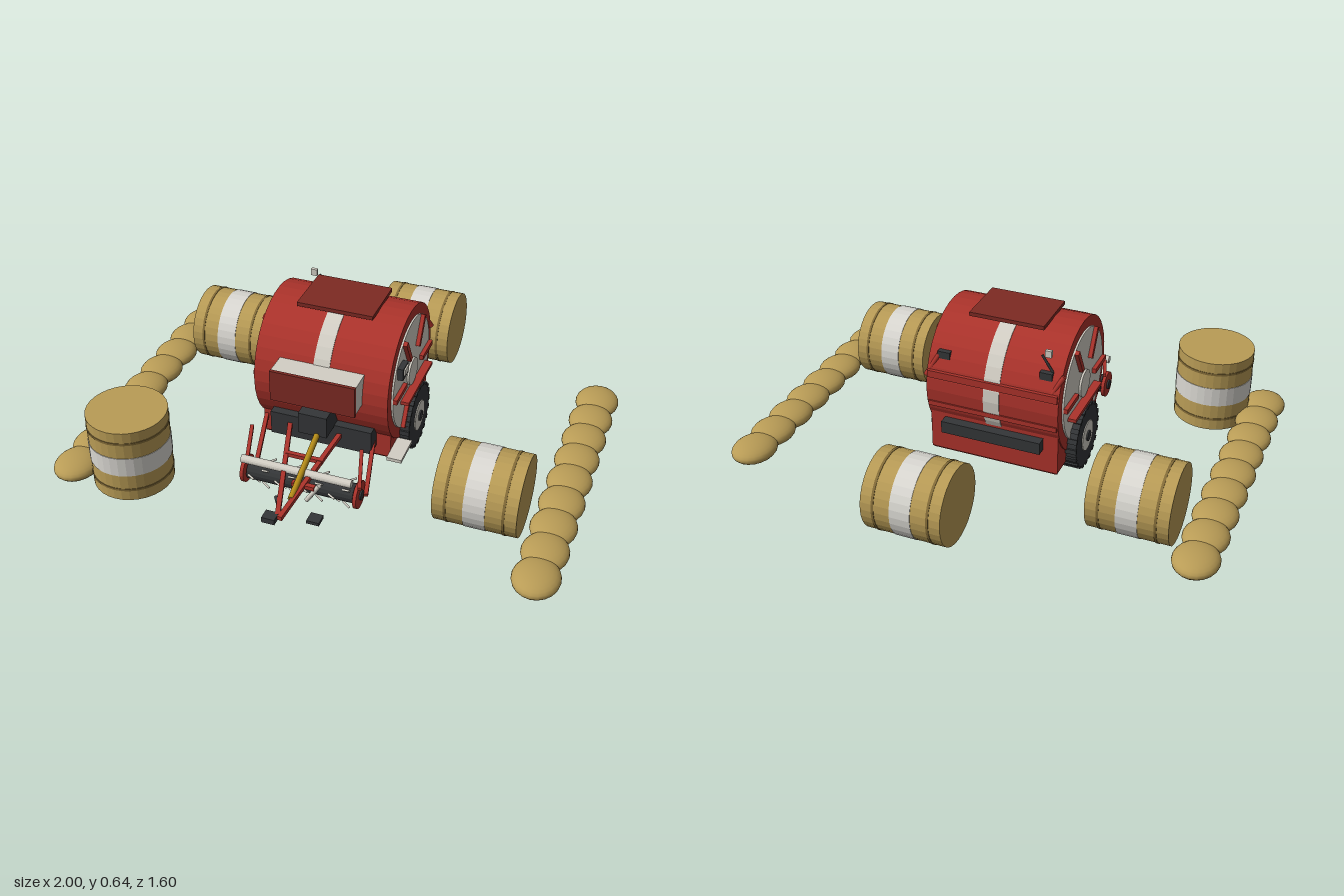
import * as THREE from 'three';

const mat = (name, color) => {
  const m = new THREE.MeshStandardMaterial({ color });
  m.name = name;
  return m;
};

export function createModel() {
  const red = mat('red paint', 0xac332b);
  const darkRed = mat('dark red paint', 0x7e2a23);
  const cream = mat('cream panel', 0xd3cfc5);
  const wrap = mat('white wrap', 0xdad8d2);
  const dark = mat('dark rubber and steel', 0x343638);
  const yellow = mat('yellow shaft guard', 0xb58c18);
  const straw = mat('straw', 0xb99c56);
  const twine = mat('dark straw', 0x846c38);

  const model = new THREE.Group();
  model.name = 'roundBalerScene';
  const baler = new THREE.Group();
  baler.name = 'baler';
  baler.position.x = -0.03;
  model.add(baler);

  const add = (parent, name, geo, material, x = 0, y = 0, z = 0) => {
    const m = new THREE.Mesh(geo, material);
    m.name = name;
    m.position.set(x, y, z);
    parent.add(m);
    return m;
  };
  const box = (name, material, w, h, d, x, y, z, parent = baler) =>
    add(parent, name, new THREE.BoxGeometry(w, h, d), material, x, y, z);
  // faceted cylinder
  const facet = (r, len, seg = 32) => {
    const g = new THREE.CylinderGeometry(r, r, len, seg).toNonIndexed();
    g.computeVertexNormals();
    return g;
  };
  // cylinder lying along x
  const roller = (name, material, r, len, x, y, z, seg = 32, parent = baler) =>
    add(parent, name, facet(r, len, seg).rotateZ(Math.PI / 2), material, x, y, z);
  // round or square bar between two points
  const bar = (name, material, a, b, r, square = false) => {
    const p = new THREE.Vector3(...a), q = new THREE.Vector3(...b), len = p.distanceTo(q);
    const g = square ? new THREE.BoxGeometry(r * 2, r * 2, len)
      : new THREE.CylinderGeometry(r, r, len, 12).rotateX(Math.PI / 2);
    const m = add(baler, name, g, material);
    m.position.copy(p).lerp(q, 0.5);
    m.lookAt(q);
    return m;
  };

  // bale chamber
  const CY = 0.362, CZ = 0.02;
  roller('chamberDrum', red, 0.27, 0.54, 0, CY, CZ, 36);
  roller('chamberStripe', cream, 0.273, 0.065, 0, CY, CZ, 36);
  box('chassis', red, 0.53, 0.22, 0.45, 0, 0.195, 0);
  box('chassisFloor', darkRed, 0.52, 0.01, 0.44, 0, 0.083, 0);
  box('topHatch', darkRed, 0.305, 0.016, 0.225, 0, 0.636, 0.015);

  // side panels, spokes, fenders and wheels on both sides
  for (const s of [-1, 1]) {
    roller('sidePanel', cream, 0.226, 0.01, s * 0.272, CY, CZ, 40);
    roller('sideHub', cream, 0.056, 0.012, s * 0.279, CY, CZ, 28);
    for (let i = 0; i < 6; i++) {
      const a = (i * Math.PI) / 3;
      const spoke = box('sideRib', red, 0.02, 0.02, 0.125, s * 0.283,
        CY + Math.sin(a) * 0.162, CZ + Math.cos(a) * 0.162);
      spoke.rotation.x = -a;
    }
    box('fender', red, 0.07, 0.014, 0.305, s * 0.275, 0.295, -0.003);

    const wheel = new THREE.Group();
    wheel.name = 'wheel';
    wheel.position.set(s * 0.272, 0.14, -0.003);
    baler.add(wheel);
    roller('tyre', dark, 0.131, 0.07, 0, 0, 0, 32, wheel);
    roller('rim', cream, 0.063, 0.078, 0, 0, 0, 28, wheel);
    roller('axleCap', dark, 0.022, 0.09, 0, 0, 0, 16, wheel);
    for (let i = 0; i < 20; i++) {
      const a = (i * Math.PI) / 10;
      const lug = box('treadLug', dark, 0.074, 0.012, 0.02, 0,
        Math.cos(a) * 0.131, Math.sin(a) * 0.131, wheel);
      lug.rotation.x = a;
    }
  }

  // control box and step on the left side
  box('controlBox', dark, 0.025, 0.05, 0.065, 0.287, 0.46, 0.167);
  box('controlScreen', cream, 0.006, 0.026, 0.045, 0.302, 0.466, 0.167);
  box('step', cream, 0.06, 0.014, 0.135, 0.295, 0.113, 0.207);

  // front net box, gearbox and feed panel
  box('netBox', cream, 0.34, 0.12, 0.11, 0, 0.415, 0.3);
  box('netBoxCover', darkRed, 0.34, 0.13, 0.013, 0, 0.413, 0.362);
  box('gearbox', dark, 0.115, 0.09, 0.13, 0, 0.27, 0.305);
  box('feedPanel', dark, 0.415, 0.1, 0.07, 0, 0.18, 0.255);

  // pickup reel
  const RY = 0.088, RZ = 0.48;
  roller('pickupReel', dark, 0.038, 0.43, 0, RY, RZ, 16);
  roller('windGuard', cream, 0.016, 0.44, 0, 0.177, 0.535, 16);
  for (const s of [-1, 1]) {
    roller('reelEndDisc', red, 0.055, 0.014, s * 0.228, RY, RZ, 24);
    roller('reelBearing', dark, 0.02, 0.022, s * 0.231, RY, RZ, 16);
    bar('reelArm', red, [s * 0.225, 0.2, 0.36], [s * 0.225, 0.17, 0.55], 0.007, true);
    bar('reelCarrier', red, [s * 0.225, 0.16, 0.22], [s * 0.225, RY, RZ], 0.008, true);
  }
  for (let i = 0; i < 8; i++) {
    for (let k = 0; k < 4; k++) {
      const a = (k * Math.PI) / 2 + (i % 2) * Math.PI / 4;
      const x = -0.19 + i * 0.0543, c = Math.cos(a), n = Math.sin(a);
      bar('tine', cream, [x, RY + c * 0.03, RZ + n * 0.03], [x, RY + c * 0.065, RZ + n * 0.065], 0.004);
    }
  }

  // drawbar, hitch, drive shaft and parking jack
  for (const s of [-1, 1])
    bar('drawbar', red, [s * 0.112, 0.19, 0.24], [s * 0.005, 0.153, 0.77], 0.009, true);
  box('drawbarBrace', red, 0.15, 0.016, 0.018, 0, 0.178, 0.45);
  box('hitch', dark, 0.05, 0.022, 0.045, 0, 0.15, 0.777);
  bar('driveShaft', yellow, [0.045, 0.235, 0.33], [0.005, 0.16, 0.67], 0.012);
  bar('driveShaftTip', dark, [0.005, 0.16, 0.67], [0, 0.153, 0.75], 0.007);
  bar('jackPost', cream, [0.087, 0.09, 0.587], [0.087, 0.185, 0.587], 0.009);
  box('jackFoot', dark, 0.05, 0.014, 0.05, 0.093, 0.012, 0.587);
  box('jackBracket', red, 0.09, 0.016, 0.02, 0.05, 0.163, 0.587);

  // tailgate rails, bumper, lamps and beacon
  box('tailgateRail', red, 0.53, 0.03, 0.03, 0, 0.43, -0.235);
  box('tailgateSill', red, 0.53, 0.02, 0.025, 0, 0.3, -0.237);
  box('rearBumper', dark, 0.41, 0.05, 0.04, 0, 0.21, -0.245);
  for (const s of [-1, 1]) {
    box('rearLamp', dark, 0.05, 0.03, 0.025, s * 0.208, 0.505, -0.207);
    bar('tailgateCylinder', red, [s * 0.25, 0.52, -0.205], [s * 0.25, 0.41, -0.238], 0.01);
  }
  bar('beaconPost', dark, [-0.21, 0.5, -0.197], [-0.21, 0.59, -0.197], 0.005);
  box('beacon', cream, 0.025, 0.028, 0.014, -0.21, 0.592, -0.195);

  // wrapped round bales
  const bale = (x, y, z, upright = false) => {
    const g = new THREE.Group();
    g.name = 'roundBale';
    g.position.set(x, y, z);
    if (upright) g.rotation.z = Math.PI / 2;
    model.add(g);
    roller('baleBody', straw, 0.156, 0.315, 0, 0, 0, 32, g);
    roller('baleWrap', wrap, 0.158, 0.082, 0, 0, 0, 32, g);
    for (const s of [-1, 1]) roller('baleTwine', twine, 0.158, 0.01, s * 0.108, 0, 0, 32, g);
  };
  bale(0.09, 0.163, -0.643);
  bale(-0.65, 0.163, -0.33);
  bale(0.645, 0.163, 0.362);
  bale(-0.7, 0.163, 0.578, true);

  // windrows of loose straw
  for (const s of [-1, 1])
    for (let i = 0; i < 9; i++) {
      const heap = add(model, 'windrowHeap', new THREE.SphereGeometry(1, 20, 14), straw,
        s * 0.912, 0.047, -0.472 + i * 0.139);
      heap.scale.set(0.088, 0.04, 0.104);
    }

  return model;
}
